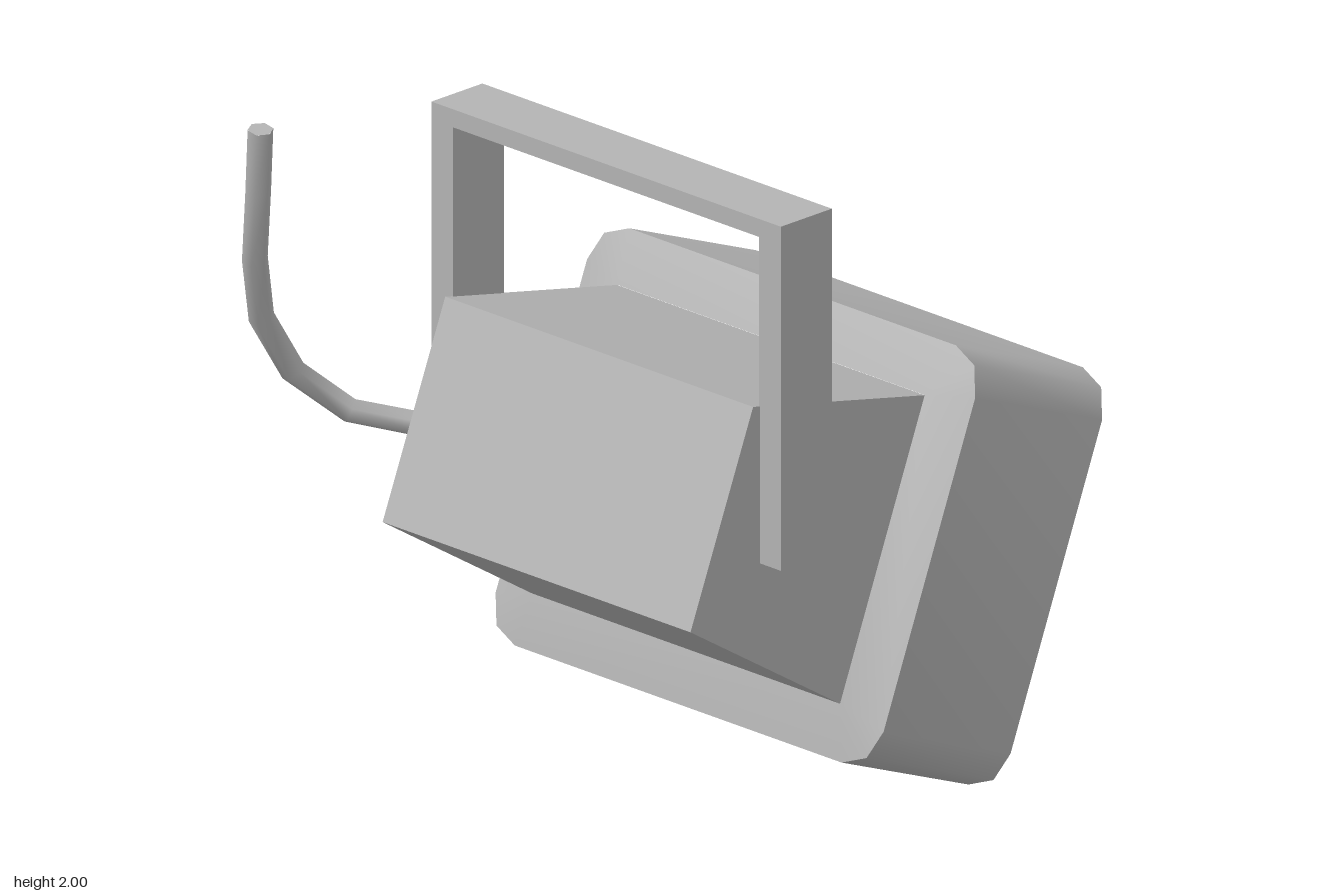
import * as THREE from 'three';
import { toCreasedNormals } from 'three/addons/utils/BufferGeometryUtils.js';

const MID_Z = 0.084; // mid plane of lamp and handle
const TILT = -0.381; // downward tilt of the lamp head

// Lamp head: rounded rectangle, straight sides, shallow bevel at the back
function headGeometry() {
  const H = 0.619, W = 0.784, R = 0.124, D = 0.275;
  const corners = [[1, 1], [-1, 1], [-1, -1], [1, -1]];
  const front = [], back = [], neck = [], centre = [];
  corners.forEach(([su, sv], q) => {
    for (let j = 0; j < 3; j++) {
      const a = (q + j / 2) * Math.PI / 2;
      const u = su * (W - R) + R * Math.cos(a);
      const v = sv * (H - R) + R * Math.sin(a);
      centre.push([D, 0, 0]);
      front.push([D, v, -u]);
      back.push([-D, v, -u]);
      neck.push([-D - 0.03, sv * 0.458, -su * 0.622]);
    }
  });
  const rings = [centre, front, back, neck], pos = [];
  for (let k = 0; k < 3; k++) {
    for (let i = 0; i < 12; i++) {
      const n = (i + 1) % 12;
      const a = rings[k][i], b = rings[k][n], c = rings[k + 1][i], d = rings[k + 1][n];
      if (k > 0) pos.push(...a, ...c, ...b);
      if (k < 2 || i % 3 === 2) pos.push(...b, ...c, ...d);
    }
  }
  const g = new THREE.BufferGeometry();
  g.setAttribute('position', new THREE.Float32BufferAttribute(pos, 3));
  g.computeVertexNormals();
  return toCreasedNormals(g, 1.0);
}

function extrude(points, depth) {
  const shape = new THREE.Shape(points.map(([x, y]) => new THREE.Vector2(x, y)));
  return new THREE.ExtrudeGeometry(shape, { depth, bevelEnabled: false });
}

export function createModel() {
  const model = new THREE.Group();
  model.name = 'floodlight';
  const grey = new THREE.MeshStandardMaterial({ color: 0xb3b3b3 });
  grey.name = 'grey';
  const add = (name, geometry, parent = model) => {
    const mesh = new THREE.Mesh(geometry, grey);
    mesh.name = name;
    parent.add(mesh);
    return mesh;
  };

  // Tilted lamp head
  const head = add('lampHead', headGeometry());
  head.position.set(0.475, 0.677, MID_Z);
  head.rotation.z = TILT;

  // Tapered housing behind the head
  const housing = add('rearHousing', extrude(
    [[-0.58, 0.745], [0.022, 0.365], [0.362, 1.215], [-0.328, 1.365]], 1.244));
  housing.position.z = MID_Z - 0.622;

  // U-shaped mounting bracket
  const o = 0.706, i = 0.618;
  const bracket = extrude([
    [-o, 0.88], [-i, 0.88], [-i, 1.875], [i, 1.875],
    [i, 0.88], [o, 0.88], [o, 1.93], [-o, 1.93]], 0.205);
  bracket.rotateY(-Math.PI / 2);
  add('mountingBracket', bracket).position.set(-0.095, 0, MID_Z);

  // Power cable, six-sided, from the housing side up to its free end
  const cable = new THREE.Group();
  cable.name = 'powerCable';
  model.add(cable);
  const path = new THREE.CatmullRomCurve3([
    [-0.37, 0.98, -0.53], [-0.52, 1.018, -0.73], [-0.655, 1.15, -0.825],
    [-0.777, 1.345, -0.83], [-0.856, 1.56, -0.777], [-0.909, 1.8, -0.71],
    [-0.927, 1.998, -0.683]].map(p => new THREE.Vector3(...p)));
  path.getPointAt = t => path.getPoint(t); // keep rings on the given points
  path.getTangentAt = t => path.getTangent(t);
  add('cableTube', new THREE.TubeGeometry(path, 6, 0.038, 6), cable);
  for (const t of [0, 1]) {
    const cap = add('cableEnd', new THREE.CircleGeometry(0.038, 6), cable);
    const p = path.getPoint(t);
    cap.position.copy(p);
    cap.lookAt(p.clone().addScaledVector(path.getTangent(t), t ? 1 : -1));
  }
  return model;
}
